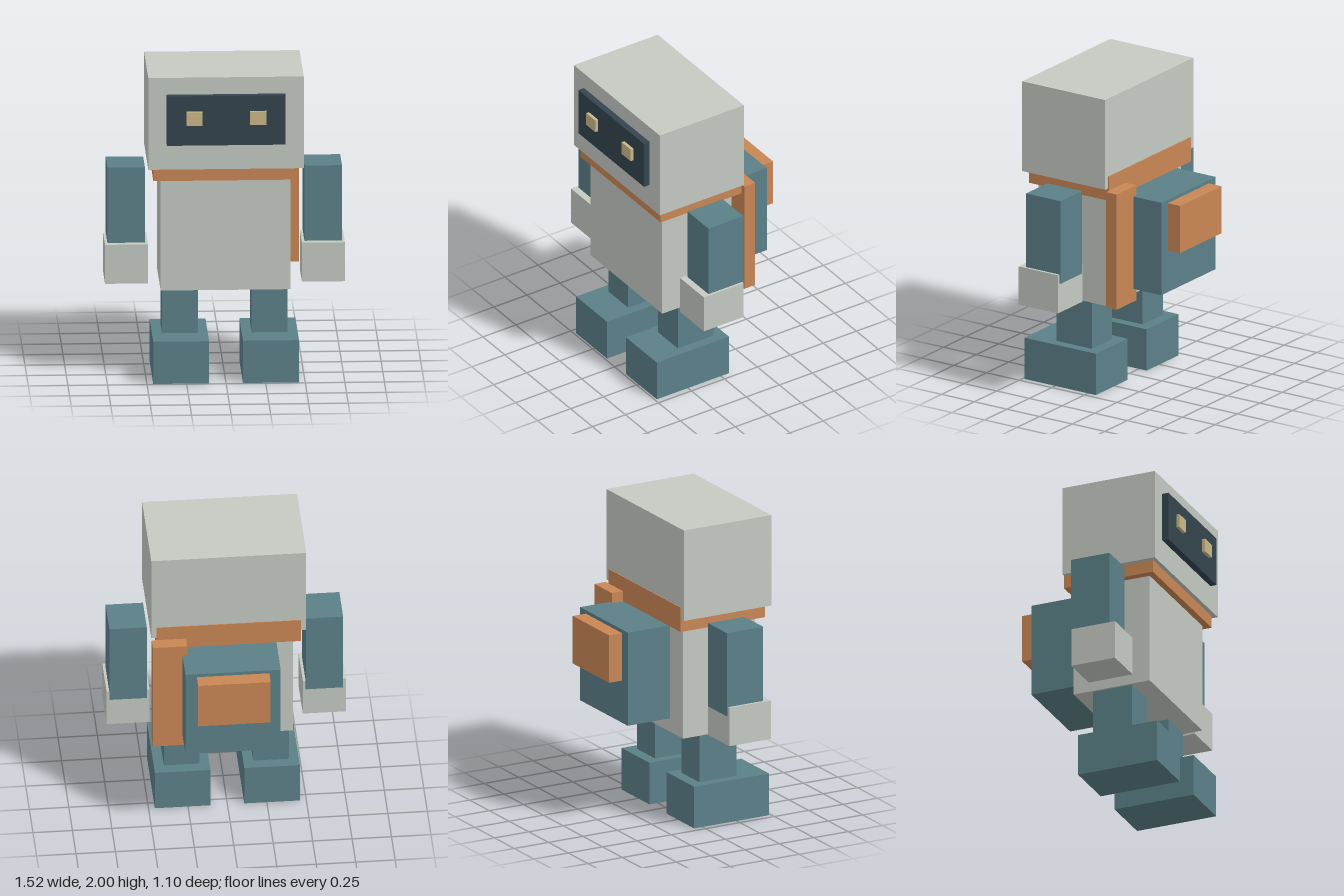
import * as THREE from 'three';

const paint = (name, color) => {
  const m = new THREE.MeshStandardMaterial({ color });
  m.name = name;
  return m;
};

export function createModel() {
  const shell = paint('paleGrey', 0xc4c9c2);
  const teal = paint('teal', 0x5b8088);
  const orange = paint('orange', 0xc98755);
  const dark = paint('darkSlate', 0x34444e);
  const cream = paint('cream', 0xcbb888);

  const robot = new THREE.Group();
  robot.name = 'robot';

  // Box given by its extents along each axis
  const box = (name, material, [x0, x1], [y0, y1], [z0, z1]) => {
    const mesh = new THREE.Mesh(new THREE.BoxGeometry(x1 - x0, y1 - y0, z1 - z0), material);
    mesh.position.set((x0 + x1) / 2, (y0 + y1) / 2, (z0 + z1) / 2);
    mesh.name = name;
    robot.add(mesh);
  };
  // Same box on both sides of the body
  const pair = (name, material, [x0, x1], y, z) => {
    box('left' + name, material, [x0, x1], y, z);
    box('right' + name, material, [-x1, -x0], y, z);
  };

  // Head and face
  box('head', shell, [-0.491, 0.491], [1.4, 2], [-0.153, 0.483]);
  box('visor', dark, [-0.375, 0.375], [1.567, 1.89], [0.47, 0.526]);
  pair('Eye', cream, [0.15, 0.253], [1.702, 1.79], [0.52, 0.547]);

  // Body
  box('torso', shell, [-0.41, 0.41], [0.59, 1.4], [-0.113, 0.412]);

  // Scarf: the collar rises just behind the head, the tail hangs at the back
  box('scarfCollar', orange, [-0.458, 0.458], [1.318, 1.48], [-0.158, 0.455]);
  box('scarfTail', orange, [0.271, 0.489], [0.615, 1.385], [-0.24, -0.158]);

  // Backpack
  box('backpack', teal, [-0.302, 0.302], [0.7, 1.318], [-0.453, -0.144]);
  box('backpackPocket', orange, [-0.23, 0.23], [0.98, 1.295], [-0.548, -0.45]);

  // Limbs
  pair('Arm', teal, [0.504, 0.741], [0.81, 1.362], [0.016, 0.281]);
  pair('Hand', shell, [0.486, 0.758], [0.615, 0.87], [0.025, 0.327]);
  pair('Leg', teal, [0.17, 0.396], [0.25, 0.62], [0.015, 0.284]);
  pair('Foot', teal, [0.107, 0.46], [0, 0.276], [-0.06, 0.486]);

  return robot;
}
